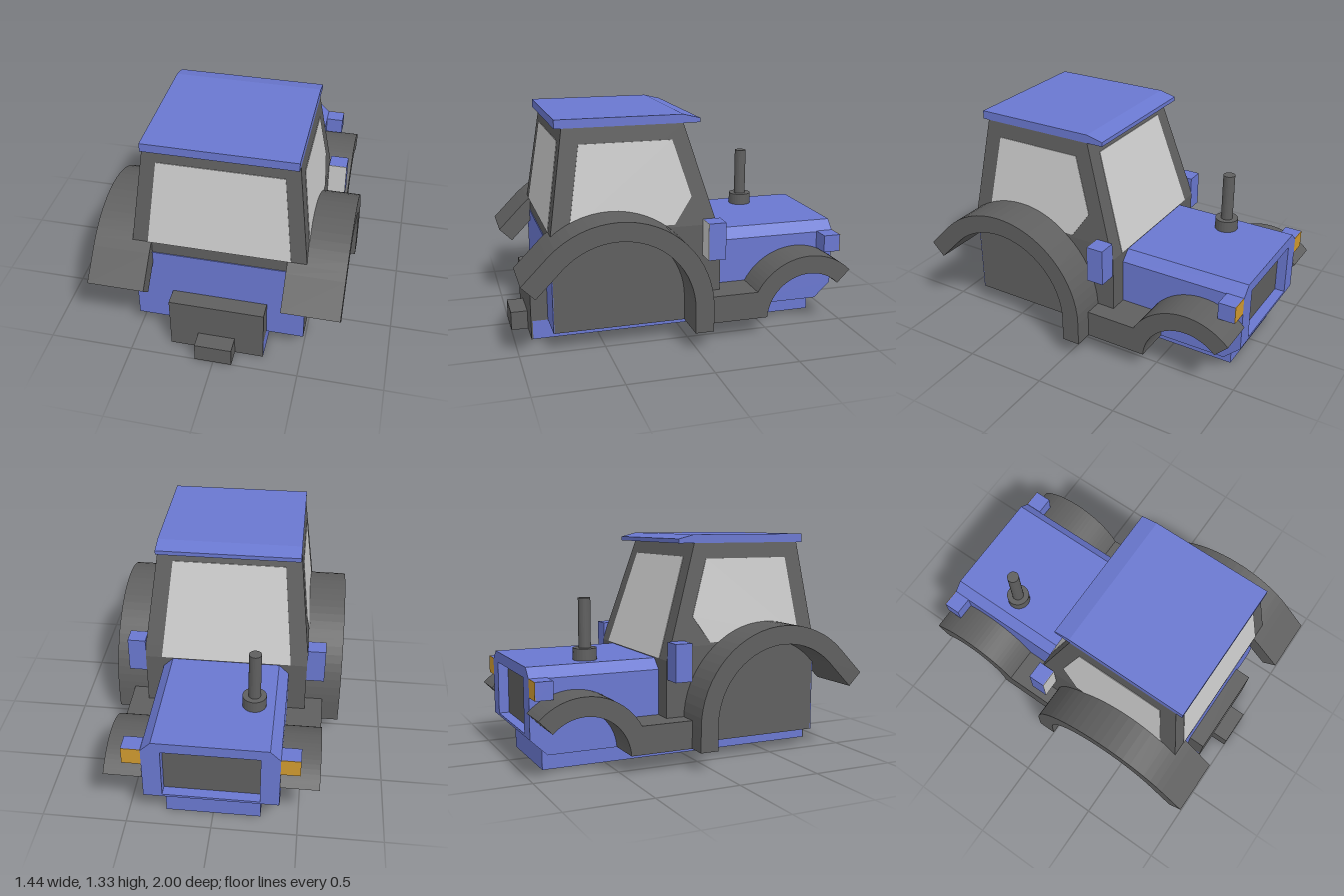
import * as THREE from 'three';

const mat = (color) => new THREE.MeshStandardMaterial({ color, flatShading: true });
const blue = mat(0x6a78d0), dark = mat(0x5f5f5f), glass = mat(0xcccccc), orange = mat(0xd09a30);

const poly = (pts) => new THREE.Shape(pts.map(([a, b]) => new THREE.Vector2(a, b)));

// Side profile in (z, y), extruded across x from x0 to x1
function across(shape, x0, x1) {
  const g = new THREE.ExtrudeGeometry(shape, { depth: x1 - x0, bevelEnabled: false, curveSegments: 12 });
  return g.rotateY(-Math.PI / 2).translate(x1, 0, 0);
}

// Cross-section in (x, y), extruded along z from z0 to z1
function along(shape, z0, z1) {
  return new THREE.ExtrudeGeometry(shape, { depth: z1 - z0, bevelEnabled: false }).translate(0, 0, z0);
}

function box(x0, x1, y0, y1, z0, z1) {
  return new THREE.BoxGeometry(x1 - x0, y1 - y0, z1 - z0)
    .translate((x0 + x1) / 2, (y0 + y1) / 2, (z0 + z1) / 2);
}

function moveVertices(g, rule) {
  const p = g.attributes.position;
  const v = new THREE.Vector3();
  for (let i = 0; i < p.count; i++) {
    rule(v.fromBufferAttribute(p, i));
    p.setXYZ(i, v.x, v.y, v.z);
  }
  g.computeVertexNormals();
  return g;
}

// Cab sides lean inward above the waist
const lean = (v) => { v.x -= Math.sign(v.x) * (v.y - 0.69) * 0.119; };

export function createModel() {
  const model = new THREE.Group();
  const add = (name, geometry, material) => {
    const m = new THREE.Mesh(geometry, material);
    m.name = name;
    model.add(m);
    return m;
  };

  // Chassis, counterweight and hitch
  add('chassis', box(-0.28, 0.28, 0, 0.115, -0.88, 0.89), blue);
  add('chassisEndPlate', box(-0.28, 0.28, 0, 0.115, 0.89, 0.9), dark);
  add('counterweight', box(-0.28, 0.28, 0.115, 0.335, 0.8, 0.9), dark);
  add('hitch', box(-0.11, 0.11, 0, 0.115, 0.9, 1), dark);

  // Body below the windows, with a painted end panel
  add('body', across(poly([[0.795, 0.115], [0.795, 0.69], [-0.176, 0.69], [-0.2, 0.615], [-0.2, 0.115]]), -0.5, 0.5), dark);
  add('bodyPanel', box(-0.5, 0.5, 0.115, 0.615, 0.795, 0.8), blue);

  // Cab and roof
  const cab = across(poly([[0.8, 0.69], [0.71, 1.28], [0.01, 1.28], [-0.176, 0.69]]), -0.5, 0.5);
  add('cab', moveVertices(cab, lean), dark);
  add('roof', across(poly([[0.75, 1.28], [0.75, 1.33], [0.01, 1.33], [-0.09, 1.305], [-0.09, 1.28]]), -0.43, 0.43), blue);

  // Windows lie on the sloping cab faces
  const sidePane = poly([[0.695, 0.705], [0.62, 1.19], [0.08, 1.19], [-0.025, 0.86], [0.08, 0.705]]);
  add('sideWindows', moveVertices(across(sidePane, -0.503, 0.503), lean), glass);
  const frontPane = poly([[-0.41, 0.692], [0.41, 0.692], [0.355, 1.2], [-0.355, 1.2]]);
  add('frontWindow', moveVertices(along(frontPane, -0.01, 0.003),
    (v) => { v.z += 0.8 - (v.y - 0.69) * 0.1525; }), glass);
  const backPane = poly([[-0.4, 0.617], [0.4, 0.617], [0.34, 1.2], [-0.34, 1.2]]);
  add('backWindow', moveVertices(along(backPane, -0.003, 0.01),
    (v) => { v.z += -0.176 + (v.y - 0.69) * 0.315; }), glass);

  // Hood: solid length, hollow end frame, sloping underside and sunken grille
  const section = () => poly([[-0.39, 0.21], [0.39, 0.21], [0.39, 0.55], [0.33, 0.61], [-0.33, 0.61], [-0.39, 0.55]]);
  add('hood', along(section(), -0.915, -0.2), blue);
  const frame = section();
  frame.holes.push(poly([[-0.28, 0.225], [-0.28, 0.545], [0.28, 0.545], [0.28, 0.225]]));
  add('hoodFrame', along(frame, -0.98, -0.915), blue);
  add('hoodBase', across(poly([[-0.2, 0.115], [-0.2, 0.21], [-0.98, 0.21], [-0.88, 0.115]]), -0.39, 0.39), blue);
  add('grille', box(-0.28, 0.28, 0.225, 0.545, -0.918, -0.91), dark);

  // Exhaust
  add('exhaustBase', new THREE.CylinderGeometry(0.07, 0.07, 0.07, 24).translate(-0.21, 0.645, -0.59), dark);
  add('exhaustPipe', new THREE.CylinderGeometry(0.036, 0.036, 0.3, 24).translate(-0.21, 0.82, -0.59), dark);

  // Large arched fender with a straight tail
  const big = new THREE.Shape();
  big.moveTo(-0.09, 0.115);
  big.lineTo(-0.09, 0.26);
  big.absarc(0.46, 0.26, 0.55, Math.PI, Math.PI / 4, true);
  big.lineTo(1, 0.495);
  big.lineTo(0.922, 0.417);
  big.absarc(0.46, 0.26, 0.44, Math.PI / 4, Math.PI, false);
  big.lineTo(0.02, 0.115);

  // Small arched fender with a flat step
  const small = new THREE.Shape();
  const a = Math.asin(0.18 / 0.375), b = Math.asin(0.015 / 0.265);
  small.moveTo(-0.09, 0.115);
  small.lineTo(-0.09, 0.28);
  small.absarc(-0.73, 0.1, 0.375, a, Math.PI * 0.75, false);
  small.absarc(-0.73, 0.1, 0.265, Math.PI * 0.75, b, true);

  // Paired parts
  for (const [side, s] of [['left', 1], ['right', -1]]) {
    const span = (p, q) => (s > 0 ? [p, q] : [-q, -p]);
    add(side + 'LargeFender', across(big, ...span(0.39, 0.72)), dark);
    add(side + 'SmallFender', across(small, ...span(0.39, 0.61)), dark);
    add(side + 'Mirror', box(...span(0.5, 0.61), 0.505, 0.725, -0.195, -0.093), blue);
    add(side + 'MirrorGlass', box(...span(0.5, 0.61), 0.505, 0.725, -0.093, -0.09), glass);
    add(side + 'LampHousing', box(...span(0.39, 0.5), 0.45, 0.555, -0.977, -0.875), blue);
    add(side + 'Lamp', box(...span(0.39, 0.5), 0.45, 0.555, -0.98, -0.977), orange);
  }

  return model;
}
